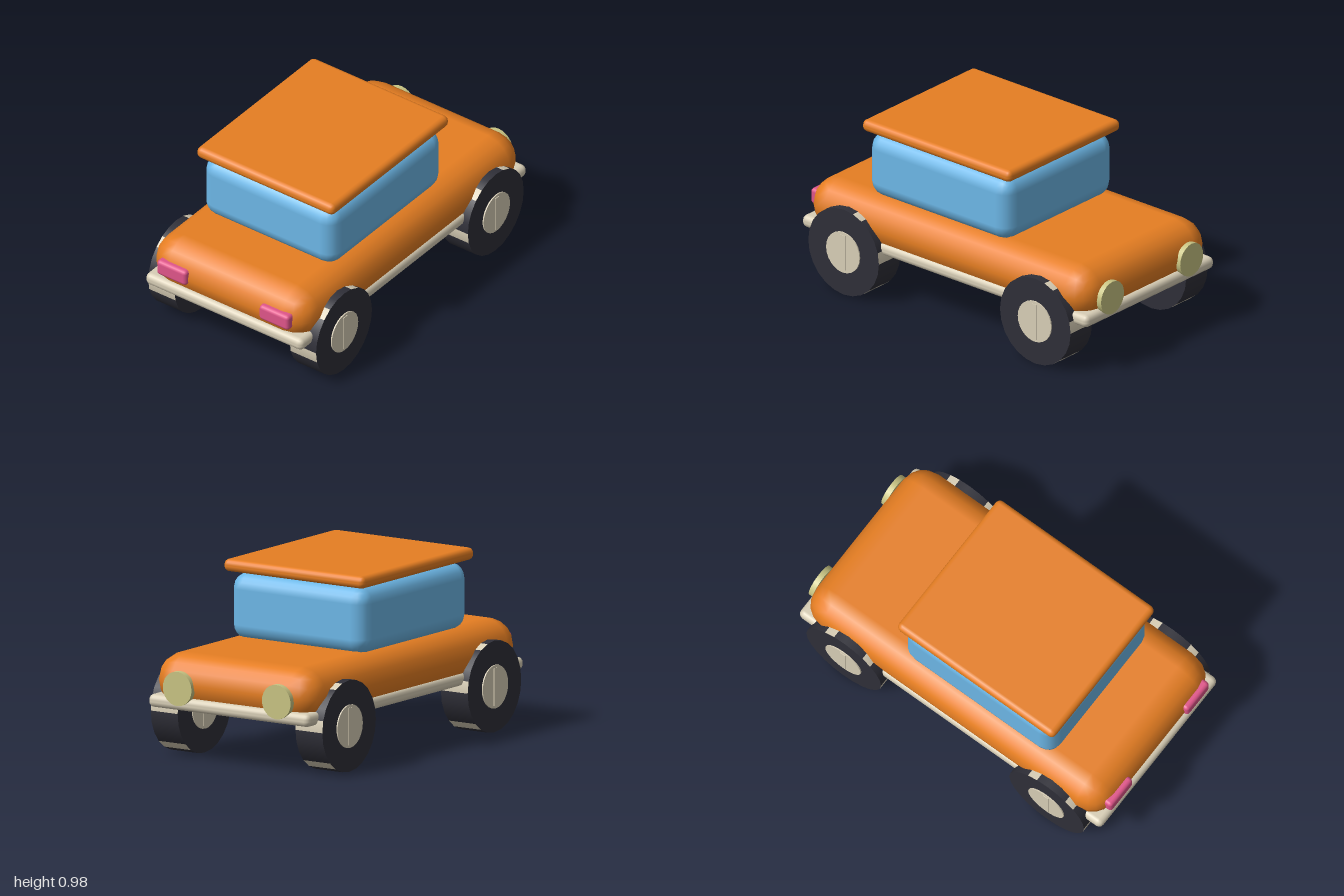
import * as THREE from 'three';
import { RoundedBoxGeometry } from 'three/addons/geometries/RoundedBoxGeometry.js';

const paint = (name, color) => {
  const m = new THREE.MeshStandardMaterial({ color });
  m.name = name;
  return m;
};

export function createModel() {
  const orange = paint('orange paint', 0xe67e22);
  const blue = paint('blue glass', 0x6db8e8);
  const cream = paint('cream trim', 0xd8ceb6);
  const dark = paint('dark rubber', 0x2f2f38);
  const pink = paint('pink lamp', 0xe0558a);
  const khaki = paint('pale yellow lamp', 0xc8c483);

  const car = new THREE.Group();
  car.name = 'car';

  const add = (parent, name, geometry, material, x = 0, y = 0, z = 0) => {
    const mesh = new THREE.Mesh(geometry, material);
    mesh.name = name;
    mesh.position.set(x, y, z);
    parent.add(mesh);
    return mesh;
  };

  // Rounded shells: body, bumper slab all around, cabin and floating roof
  add(car, 'body', new RoundedBoxGeometry(1.04, 0.3, 1.96, 2, 0.149), orange, 0, 0.42, 0);
  add(car, 'bumper', new RoundedBoxGeometry(1.03, 0.07, 1.984, 2, 0.03), cream, 0, 0.315, 0);
  add(car, 'cabin', new RoundedBoxGeometry(0.87, 0.36, 0.985, 2, 0.085), blue, 0, 0.73, 0.12);
  add(car, 'roof', new RoundedBoxGeometry(0.9, 0.067, 1.03, 2, 0.03), orange, 0, 0.951, 0.117);

  // Lamps: soft rectangles in front, round discs at the back
  const frontLampShape = new RoundedBoxGeometry(0.195, 0.09, 0.06, 2, 0.02);
  const backLampShape = new THREE.CylinderGeometry(0.092, 0.092, 0.03, 24).rotateX(Math.PI / 2);
  for (const side of [-1, 1]) {
    add(car, 'frontLamp', frontLampShape, pink, side * 0.335, 0.43, 0.97);
    add(car, 'backLamp', backLampShape, khaki, side * 0.317, 0.4, -0.985);
  }

  // Tyre: every fourth tread face is cream, the rest and both caps are dark
  const segments = 24;
  const tyreShape = new THREE.CylinderGeometry(0.245, 0.245, 0.172, segments);
  tyreShape.clearGroups();
  for (let i = 0; i < segments; i++) tyreShape.addGroup(i * 6, 6, i % 4 === 0 ? 1 : 0);
  tyreShape.addGroup(segments * 6, segments * 6, 0);
  tyreShape.rotateZ(-Math.PI / 2);

  // Hub runs right through the tyre, with a raised upright bar on both ends
  const hubShape = new THREE.CylinderGeometry(0.116, 0.116, 0.186, segments).rotateZ(-Math.PI / 2);
  const barShape = new THREE.BoxGeometry(0.194, 0.2, 0.035);

  for (const side of [-1, 1]) {
    for (const end of [-1, 1]) {
      const wheel = new THREE.Group();
      wheel.name = (end > 0 ? 'front' : 'back') + (side > 0 ? 'Left' : 'Right') + 'Wheel';
      wheel.position.set(side * 0.463, 0.245, end * 0.665);
      add(wheel, 'tyre', tyreShape, [dark, cream]);
      add(wheel, 'hub', hubShape, cream);
      add(wheel, 'hubBar', barShape, cream);
      car.add(wheel);
    }
  }
  return car;
}
